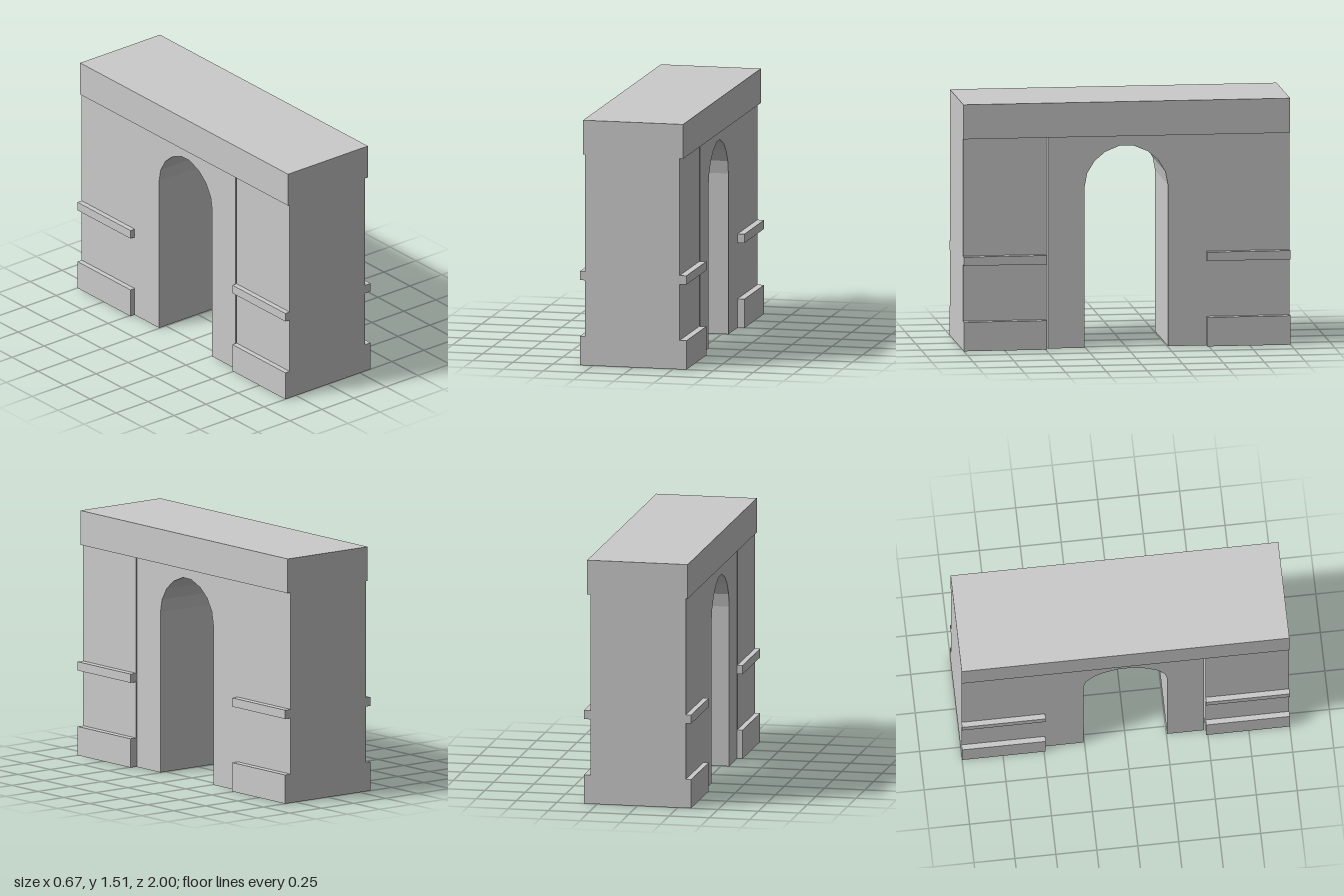
import * as THREE from 'three';

const material = new THREE.MeshStandardMaterial({ color: 0xcccccc, flatShading: true });

// Box given by its lower and upper limits on each axis
function block(name, [x0, x1], [y0, y1], [z0, z1]) {
  const mesh = new THREE.Mesh(new THREE.BoxGeometry(x1 - x0, y1 - y0, z1 - z0), material);
  mesh.position.set((x0 + x1) / 2, (y0 + y1) / 2, (z0 + z1) / 2);
  mesh.name = name;
  return mesh;
}

export function createModel() {
  const model = new THREE.Group();
  model.name = 'archway';

  const wallX = [-0.3, 0.29];
  const trimX = [-0.333, 0.333];
  const capBottom = 1.298;

  // Lintel across the whole top
  model.add(block('lintel', [-0.312, 0.312], [capBottom, 1.51], [-1, 1]));

  // End piers with plinth and string course
  for (const side of [1, -1]) {
    const span = side > 0 ? [0.49, 1] : [-1, -0.49];
    const pier = new THREE.Group();
    pier.name = side > 0 ? 'frontPier' : 'backPier';
    pier.add(
      block('pierWall', wallX, [0, capBottom], span),
      block('plinth', trimX, [0, 0.178], span),
      block('stringCourse', trimX, [0.524, 0.578], span)
    );
    model.add(pier);
  }

  // Central wall with faceted arch, drawn as (-z, y) and extruded along x
  const half = [[0.255, 0], [0.255, 0.99], [0.24, 1.07], [0.195, 1.145], [0.13, 1.2], [0.04, 1.237]];
  const opening = [...half, ...half.map(([u, y]) => [-u, y]).reverse()];
  const outline = [[-0.48, 0], [-0.48, capBottom], [0.49, capBottom], [0.49, 0], ...opening];
  const shape = new THREE.Shape(outline.map(([u, y]) => new THREE.Vector2(u, y)));
  const geometry = new THREE.ExtrudeGeometry(shape, { depth: wallX[1] - wallX[0], bevelEnabled: false });
  geometry.rotateY(Math.PI / 2).translate(wallX[0], 0, 0);
  const archWall = new THREE.Mesh(geometry, material);
  archWall.name = 'archWall';
  model.add(archWall);

  return model;
}
